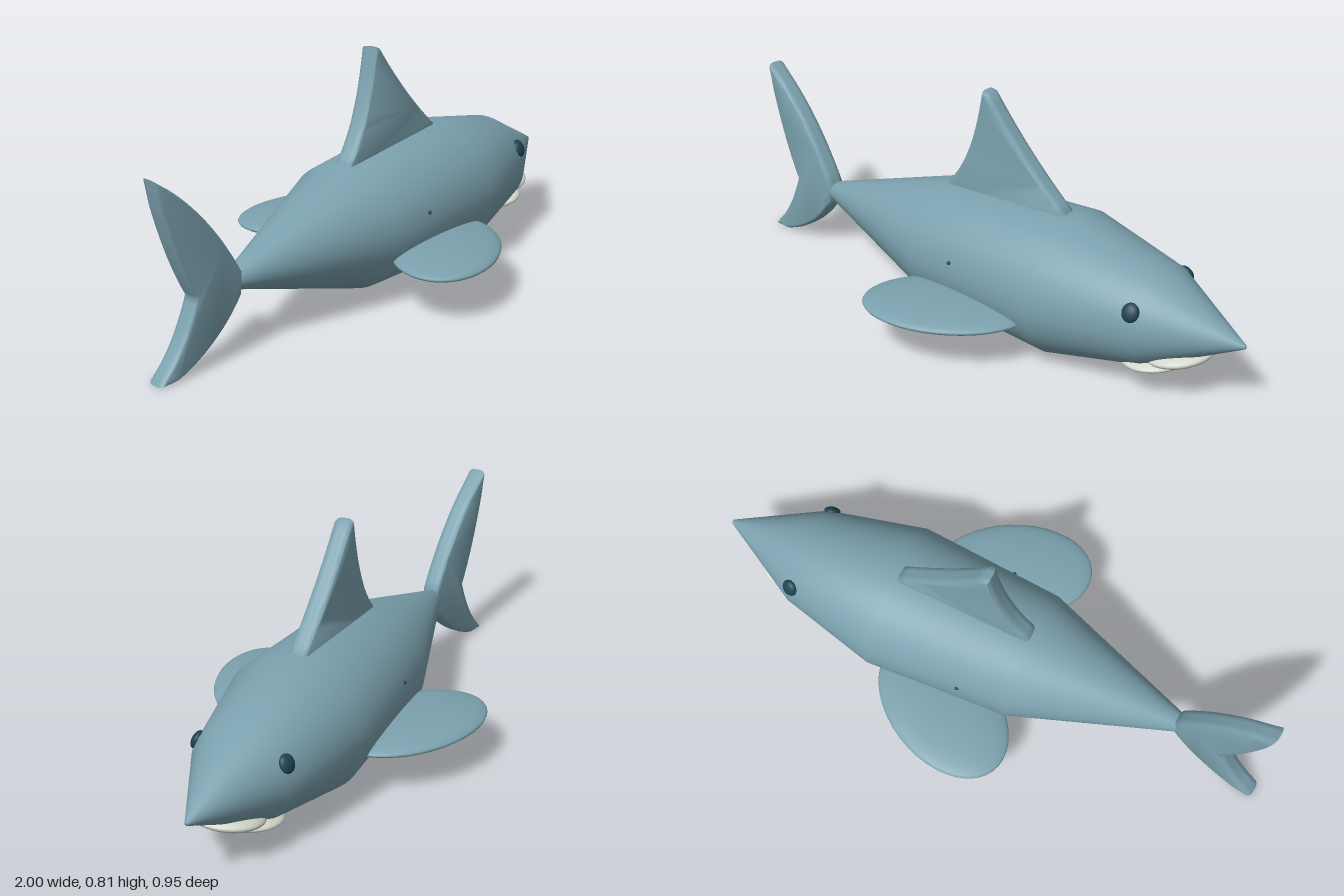
import * as THREE from 'three';
import { toCreasedNormals } from 'three/addons/utils/BufferGeometryUtils.js';

const skin = new THREE.MeshStandardMaterial({ name: 'blue grey skin', color: 0x7ba1ae });
const dark = new THREE.MeshStandardMaterial({ name: 'dark eye', color: 0x1f4352 });
const pale = new THREE.MeshStandardMaterial({ name: 'pale mouth', color: 0xd3d9cd });

const BODY_Y = 0.25;

function addMesh(parent, name, geometry, material) {
  const mesh = new THREE.Mesh(geometry, material);
  mesh.name = name;
  parent.add(mesh);
  return mesh;
}

function ellipsoid(parent, name, material, radii, position, rotation = [0, 0, 0]) {
  const geometry = new THREE.SphereGeometry(1, 40, 24);
  geometry.scale(...radii);
  const mesh = addMesh(parent, name, geometry, material);
  mesh.position.set(...position);
  mesh.rotation.set(...rotation);
  return mesh;
}

// Flat fin with rounded edges, centred on z = 0
function finGeometry(shape) {
  const depth = 0.018;
  const geometry = new THREE.ExtrudeGeometry(shape, {
    depth, curveSegments: 14, bevelEnabled: true,
    bevelThickness: 0.023, bevelSize: 0.012, bevelSegments: 5,
  });
  geometry.translate(0, 0, -depth / 2);
  return toCreasedNormals(geometry, 0.9);
}

export function createModel() {
  const model = new THREE.Group();
  model.name = 'shark';

  // Body: tapered sections turned around the long axis
  const profile = [[0, -0.685], [0.033, -0.68], [0.22, -0.14], [0.25, 0.36], [0.17, 0.7], [0.007, 0.998], [0, 1]]
    .map(([r, x]) => new THREE.Vector2(r, x));
  const bodyGeometry = new THREE.LatheGeometry(profile, 64);
  bodyGeometry.rotateZ(-Math.PI / 2);
  bodyGeometry.scale(1, 0.955, 1);
  addMesh(model, 'body', bodyGeometry, skin).position.y = BODY_Y;

  // Dorsal fin
  const dorsal = new THREE.Shape();
  dorsal.moveTo(-0.13, 0.42);
  dorsal.lineTo(-0.125, 0.463);
  dorsal.quadraticCurveTo(-0.025, 0.57, 0.014, 0.808);
  dorsal.lineTo(0.022, 0.806);
  dorsal.quadraticCurveTo(0.155, 0.63, 0.325, 0.482);
  dorsal.lineTo(0.325, 0.42);
  dorsal.closePath();
  addMesh(model, 'dorsalFin', finGeometry(dorsal), skin);

  // Tail fin, swung slightly to one side about its root
  const rootX = -0.68;
  const tail = new THREE.Shape();
  tail.moveTo(-0.682, 0.28);
  tail.quadraticCurveTo(-0.79, 0.48, -0.938, 0.598);
  tail.lineTo(-0.98, 0.635);
  tail.lineTo(-0.963, 0.565);
  tail.quadraticCurveTo(-0.91, 0.37, -0.842, 0.25);
  tail.quadraticCurveTo(-0.9, 0.09, -0.985, 0.018);
  tail.lineTo(-0.935, 0.023);
  tail.bezierCurveTo(-0.84, 0.055, -0.74, 0.13, -0.687, 0.215);
  tail.closePath();
  const tailGeometry = finGeometry(tail);
  tailGeometry.translate(-rootX, 0, 0);
  const tailFin = addMesh(model, 'tailFin', tailGeometry, skin);
  tailFin.position.set(rootX, 0, 0.005);
  tailFin.rotation.y = -0.125;

  // Paired parts: pectoral fins, eyes and side spots
  for (const [side, s] of [['left', -1], ['right', 1]]) {
    ellipsoid(model, side + 'PectoralFin', skin, [0.278, 0.032, 0.18],
      [0.06, 0.176, s * 0.27], [0, s * 0.483, 0]);
    ellipsoid(model, side + 'Eye', dark, [0.028, 0.031, 0.016],
      [0.685, 0.325, s * 0.155], [s * -0.45, s * 0.2, 0]);
    ellipsoid(model, side + 'SideSpot', dark, [0.007, 0.006, 0.006],
      [0.03, 0.298, s * 0.225]);
  }

  // Mouth: two flattened lips pressed into the underside of the snout
  ellipsoid(model, 'upperLip', pale, [0.112, 0.03, 0.117], [0.773, 0.15, 0], [0, 0, 0.2]);
  ellipsoid(model, 'lowerLip', pale, [0.12, 0.026, 0.138], [0.7, 0.119, 0], [0, 0, 0.12]);

  return model;
}
